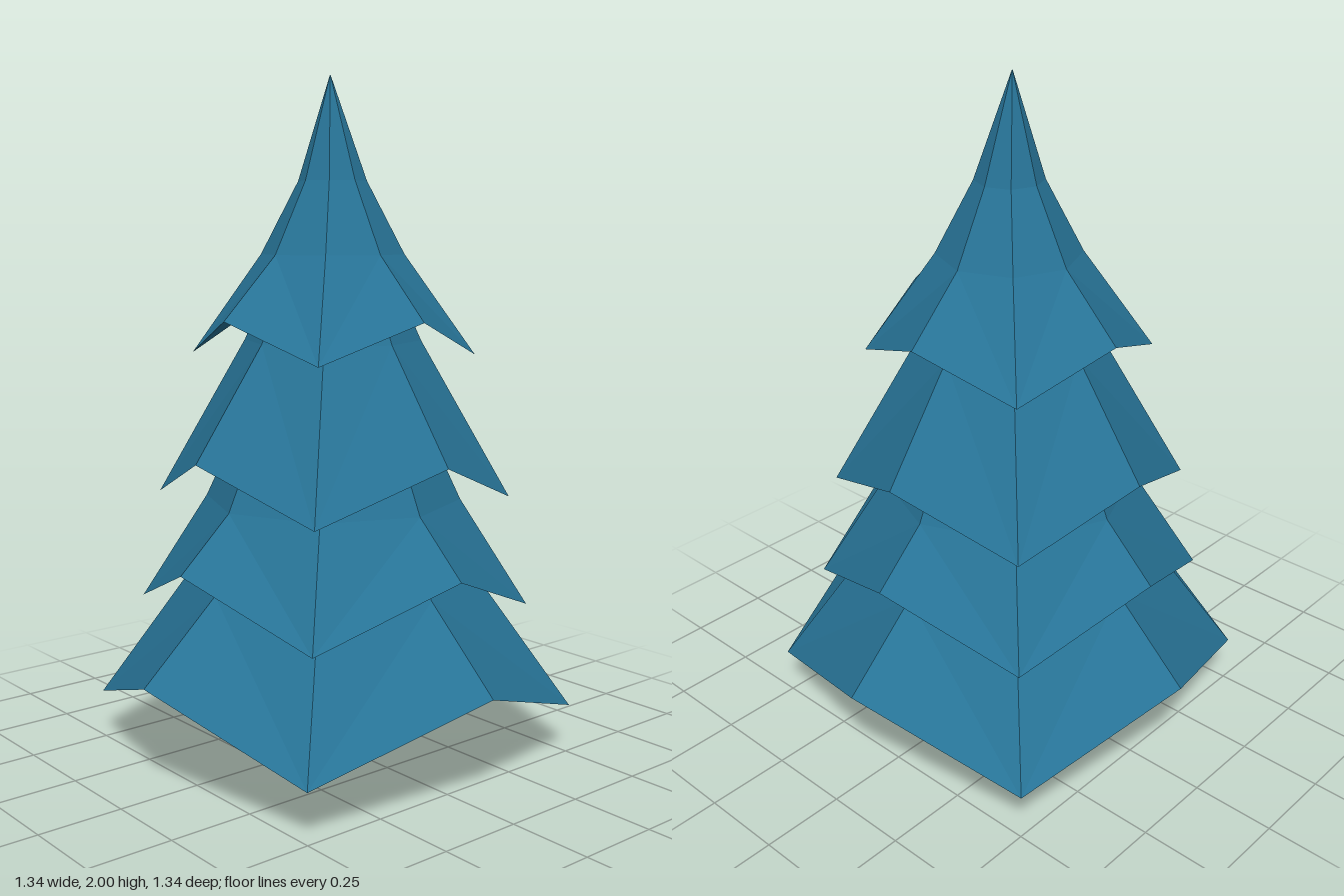
import * as THREE from 'three';

const SIDES = 8;

// Zigzag octagon: even corners lie on the axes, odd corners on the diagonals
function ring(axisR, axisY, diagR = axisR, diagY = axisY, z = 0) {
  return Array.from({ length: SIDES }, (_, i) => {
    const a = (i / SIDES) * Math.PI * 2;
    const r = i % 2 ? diagR : axisR;
    return [r * Math.sin(a), i % 2 ? diagY : axisY, r * Math.cos(a) + z];
  });
}

// Skin stacked rings from the bottom up; creases run from each axis top to the diagonal tips
function skin(rings) {
  const pos = [];
  for (let k = 0; k < rings.length - 1; k++) {
    const lo = rings[k], hi = rings[k + 1];
    for (let i = 0; i < SIDES; i++) {
      const j = (i + 1) % SIDES;
      if (i % 2 === 0) pos.push(...lo[i], ...lo[j], ...hi[i], ...lo[j], ...hi[j], ...hi[i]);
      else pos.push(...lo[i], ...lo[j], ...hi[j], ...lo[i], ...hi[j], ...hi[i]);
    }
  }
  return toGeometry(pos);
}

// Hollow underside rising from the rim to a point
function hollow(rim, apexY) {
  const pos = [];
  rim.forEach((p, i) => pos.push(...rim[(i + 1) % SIDES], ...p, 0, apexY, 0));
  return toGeometry(pos);
}

function toGeometry(pos) {
  const geo = new THREE.BufferGeometry();
  geo.setAttribute('position', new THREE.Float32BufferAttribute(pos, 3));
  geo.computeVertexNormals();
  return geo;
}

export function createModel() {
  const group = new THREE.Group();
  const needles = new THREE.MeshStandardMaterial({ color: 0x277396, flatShading: true, side: THREE.DoubleSide });
  needles.name = 'blueNeedles';
  const bark = new THREE.MeshStandardMaterial({ color: 0xad6140, flatShading: true });
  bark.name = 'bark';

  const add = (name, geo, mat, parent = group) => {
    const mesh = new THREE.Mesh(geo, mat);
    mesh.name = name;
    parent.add(mesh);
    return mesh;
  };

  // Trunk
  add('trunk', new THREE.CylinderGeometry(0.125, 0.125, 0.6, SIDES), bark).position.y = 0.3;

  // Branch tiers: rim on axes, rim on diagonals, then the rings above [radius, height, z shift]
  const tiers = [
    { name: 'bottomTier', axis: [0.67, 0.32], diag: [0.714, 0.145], top: [[0.43, 0.54], [0.28, 0.74]] },
    { name: 'lowerTier', axis: [0.545, 0.615], diag: [0.58, 0.455], top: [[0.38, 0.77], [0.25, 1.05]] },
    { name: 'upperTier', axis: [0.49, 0.92], diag: [0.523, 0.78], top: [[0.26, 1.24], [0.18, 1.42]] },
    { name: 'crownTier', axis: [0.39, 1.31], diag: [0.417, 1.2], top: [[0.21, 1.49], [0.1, 1.7], [0.001, 2, -0.01]] },
  ];
  for (const { name, axis, diag, top } of tiers) {
    const tier = new THREE.Group();
    tier.name = name;
    const rim = ring(...axis, ...diag);
    const upper = top.map(([r, y, z = 0]) => ring(r, y, r, y, z));
    add('branches', skin([rim, ...upper]), needles, tier);

    // The underside continues the slope of the scalloped rim
    const half = axis[0] / 2;
    const slope = (axis[1] - diag[1]) / (diag[0] * Math.SQRT1_2 - half);
    add('underside', hollow(rim, axis[1] + slope * half), needles, tier);
    group.add(tier);
  }
  return group;
}
